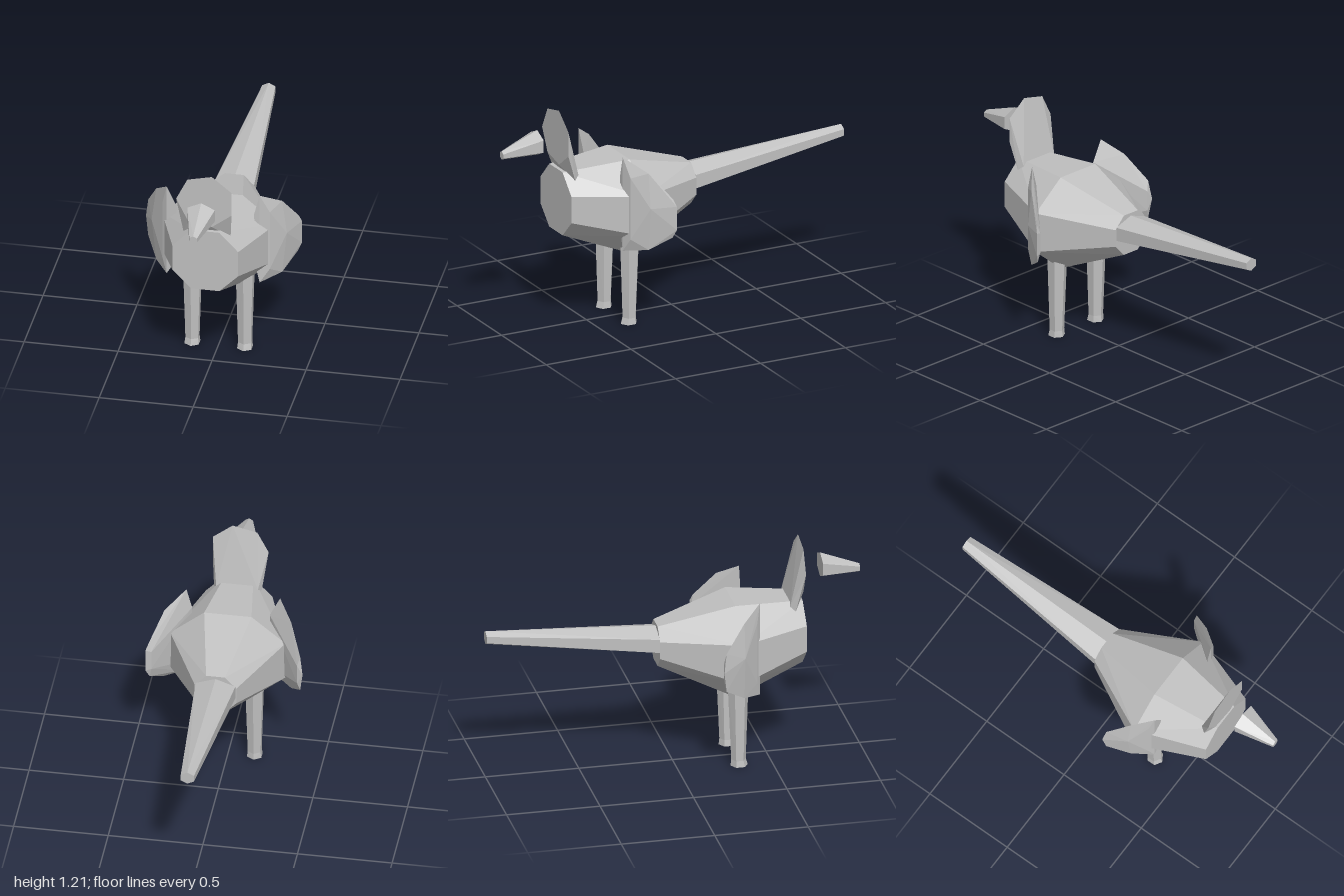
import * as THREE from 'three';
import { ConvexGeometry } from 'three/addons/geometries/ConvexGeometry.js';

const plumage = new THREE.MeshStandardMaterial({ color: 0xc0c0c0, flatShading: true });
plumage.name = 'plain grey';

// Faceted solid wrapped around a list of [x, y, z] corners
function solid(name, points) {
  const mesh = new THREE.Mesh(new ConvexGeometry(points.map((p) => new THREE.Vector3(...p))), plumage);
  mesh.name = name;
  return mesh;
}

// Octagon across the body; w / flatW are half widths, y values run bottom to top
function octagon(z, w, flatW, [bottom, low, high, top]) {
  return [-1, 1].flatMap((s) => [
    [s * flatW, bottom, z], [s * w, low, z], [s * w, high, z], [s * flatW, top, z],
  ]);
}

// Upright hexagon with corners at top and bottom; rx is the half width
function hexUpright(z, cy, rx, ry) {
  const points = [[0, cy + ry, z], [0, cy - ry, z]];
  for (const s of [-1, 1]) points.push([s * rx, cy + ry / 2, z], [s * rx, cy - ry / 2, z]);
  return points;
}

// Level hexagon with corners to front and back
function hexLevel(y, cx, cz, rx, rz) {
  return hexUpright(0, 0, rx, rz).map(([x, z]) => [cx + x, y, cz + z]);
}

export function createModel() {
  const bird = new THREE.Group();
  bird.name = 'bird';

  bird.add(solid('body', [
    ...octagon(0.68, 0.175, 0.075, [0.525, 0.625, 0.77, 0.875]),
    ...octagon(0.31, 0.305, 0.125, [0.38, 0.53, 0.75, 0.9]),
    ...octagon(-0.09, 0.11, 0.05, [0.565, 0.63, 0.725, 0.79]),
  ]));

  bird.add(solid('tail', [...hexUpright(-0.09, 0.7, 0.105, 0.075), ...hexUpright(-1, 0.795, 0.035, 0.036)]));
  bird.add(solid('beak', [...hexUpright(0.79, 1.037, 0.073, 0.068), ...hexUpright(1, 1.0, 0.02, 0.023)]));

  // Head: seven-sided flat face, narrowing back and down into the neck
  const face = [
    [-0.155, 1.055], [-0.095, 1.175], [0.035, 1.205], [0.14, 1.12],
    [0.14, 0.985], [0.035, 0.905], [-0.095, 0.935],
  ].map(([x, y]) => [x, y, 0.68]);
  const neck = [-1, 1].flatMap((s) => [
    [s * 0.125, 0.83, 0.63], [s * 0.11, 0.86, 0.605], [s * 0.05, 0.85, 0.645],
  ]);
  bird.add(solid('head', [...face, ...neck]));

  // Wings: curved blades swept outward to the back
  const rightTrail = [[0.4, 0.755, 0.2], [0.415, 0.65, 0.185], [0.4, 0.54, 0.2]];
  const leftTrail = [[0.4, 0.75, 0.2], [0.415, 0.71, 0.185], [0.415, 0.58, 0.185], [0.395, 0.535, 0.2]];
  for (const [side, label, trail, tipX] of [[-1, 'right', rightTrail, 0.26], [1, 'left', leftTrail, 0.235]]) {
    const blade = [
      [tipX, 0.965, 0.41], [0.205, 0.85, 0.41], [0.22, 0.51, 0.41], [tipX, 0.445, 0.41],
      [0.285, 0.86, 0.39], [0.285, 0.52, 0.39],
      [0.335, 0.89, 0.31], [0.36, 0.7, 0.31], [0.335, 0.465, 0.31],
      [0.385, 0.7, 0.19], [0.385, 0.59, 0.19],
      ...trail,
    ];
    bird.add(solid(label + 'Wing', blade.map(([x, y, z]) => [side * x, y, z])));
  }

  // Legs with slightly flared feet
  for (const [side, label] of [[-1, 'right'], [1, 'left']]) {
    const cx = side * 0.14;
    const ankle = hexLevel(0.035, cx, 0.322, 0.034, 0.039);
    bird.add(solid(label + 'Foot', [...hexLevel(0, cx, 0.325, 0.038, 0.046), ...ankle]));
    bird.add(solid(label + 'Leg', [...ankle, ...hexLevel(0.45, cx, 0.32, 0.045, 0.055)]));
  }

  return bird;
}
